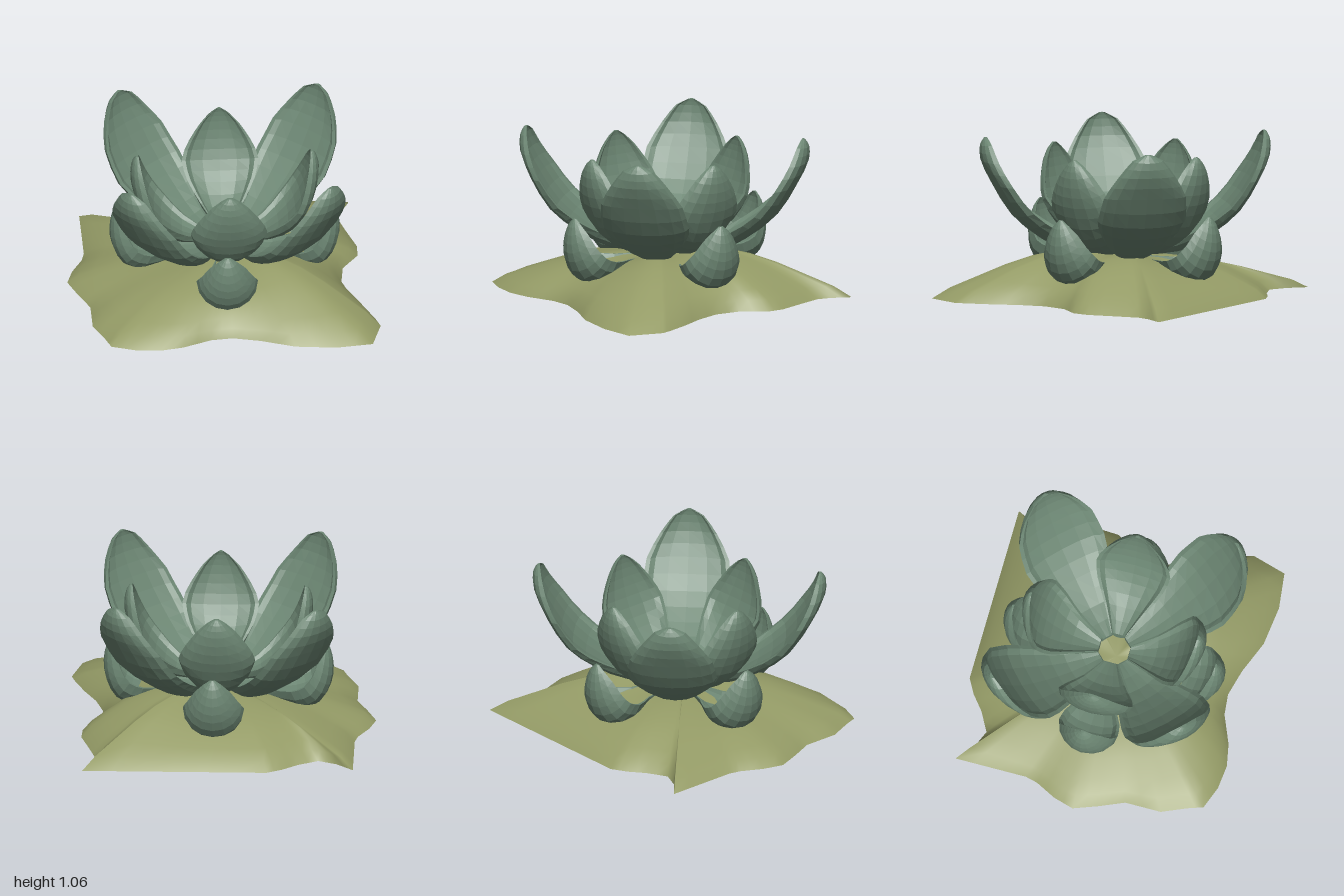
import * as THREE from 'three';

const leafMat = new THREE.MeshStandardMaterial({ color: 0x6b8572, flatShading: true });
const soilMat = new THREE.MeshStandardMaterial({ color: 0x949b66 });

// Petal stations from base to tip: back r, back y, rim r, rim y, half width
const LARGE = [
  [0.1, 0.26, 0.1, 0.32, 0.05], [0.35, 0.28, 0.3, 0.37, 0.15], [0.56, 0.39, 0.48, 0.465, 0.235],
  [0.75, 0.55, 0.65, 0.59, 0.29], [0.88, 0.76, 0.78, 0.76, 0.27], [0.95, 0.91, 0.86, 0.91, 0.185],
  [0.955, 1.01, 0.895, 1.02, 0.1], [0.93, 1.06, 0.91, 1.06, 0.02],
];
const INNER = [
  [0.1, 0.28, 0.1, 0.34, 0.05], [0.3, 0.31, 0.26, 0.42, 0.14], [0.46, 0.42, 0.38, 0.53, 0.22],
  [0.55, 0.57, 0.46, 0.63, 0.25], [0.6, 0.71, 0.51, 0.75, 0.2], [0.615, 0.84, 0.54, 0.86, 0.125],
  [0.6, 0.92, 0.555, 0.925, 0.06], [0.58, 0.955, 0.56, 0.955, 0.015],
];
const SMALL = [
  [0.1, 0.22, 0.1, 0.27, 0.04], [0.35, 0.16, 0.33, 0.27, 0.1], [0.55, 0.12, 0.48, 0.29, 0.185],
  [0.67, 0.17, 0.57, 0.33, 0.2], [0.735, 0.29, 0.625, 0.4, 0.165], [0.75, 0.41, 0.655, 0.48, 0.115],
  [0.73, 0.52, 0.68, 0.54, 0.06], [0.7, 0.575, 0.685, 0.575, 0.015],
];

function buildGeometry(pos, idx) {
  const g = new THREE.BufferGeometry();
  g.setAttribute('position', new THREE.Float32BufferAttribute(pos, 3));
  g.setIndex(idx);
  g.computeVertexNormals();
  return g;
}

// Cupped petal pointing to +z: round back, narrow lip, hollow inner face
function petalGeometry(stations) {
  const curve = (k) => new THREE.CatmullRomCurve3(
    stations.map((s) => (k < 4 ? new THREE.Vector3(0, s[k + 1], s[k]) : new THREE.Vector3(s[4], 0, 0))));
  const back = curve(0), rim = curve(2), width = curve(4);
  const rows = 14, outer = 8, inner = 6, n = outer + inner + 2;
  const pos = [], idx = [];
  for (let i = 0; i <= rows; i++) {
    const t = i / rows;
    const b = back.getPoint(t), r = rim.getPoint(t), w = Math.max(width.getPoint(t).x, 0.005);
    const add = (a, wide, deep) => {
      const p = r.clone().lerp(b, deep * Math.sin(a));
      pos.push(w * wide * Math.cos(a), p.y, p.z);
    };
    for (let j = 0; j <= outer; j++) add((Math.PI * j) / outer, 1, 1);
    for (let j = inner; j >= 0; j--) add((Math.PI * j) / inner, 0.9, 0.42);
  }
  for (let i = 0; i < rows; i++) {
    for (let j = 0; j < n; j++) {
      const k = (j + 1) % n;
      const a = i * n + j, b = a + n, c = (i + 1) * n + k, d = i * n + k;
      idx.push(a, b, c, a, c, d);
    }
  }
  const e = rows * n;
  for (let j = 1; j < n - 1; j++) idx.push(0, j, j + 1, e, e + j + 1, e + j);
  return buildGeometry(pos, idx);
}

// Four equal petals around the centre
function petalRing(name, stations, turn) {
  const ring = new THREE.Group();
  ring.name = name + 'Petals';
  const geo = petalGeometry(stations);
  for (let i = 0; i < 4; i++) {
    const petal = new THREE.Mesh(geo, leafMat);
    petal.name = name + 'Petal' + (i + 1);
    petal.rotation.y = turn + (i * Math.PI) / 2;
    ring.add(petal);
  }
  return ring;
}

// Irregular outline of the ground patch (x, z), clockwise from above
const OUTLINE = [
  [-0.87, -0.845], [-0.76, -0.75], [-0.64, -0.7], [-0.51, -0.77], [-0.41, -0.85], [-0.31, -0.905],
  [0.1, -0.905], [0.5, -0.905], [0.89, -0.905], [0.83, -0.78], [0.81, -0.69], [0.855, -0.53],
  [0.91, -0.35], [0.905, -0.235], [0.8, -0.085], [0.78, 0.085], [0.83, 0.25], [0.91, 0.41],
  [0.975, 0.57], [1, 0.65], [0.935, 0.875], [0.695, 0.905], [0.43, 0.875], [0.21, 0.79],
  [0.03, 0.745], [-0.11, 0.76], [-0.3, 0.84], [-0.45, 0.87], [-0.61, 0.855], [-0.765, 0.8],
  [-0.8, 0.7], [-0.87, 0.54], [-0.87, 0.3], [-0.94, 0.14], [-1, -0.02], [-0.96, -0.155],
  [-0.89, -0.29], [-0.87, -0.37], [-0.87, -0.6],
];
// Mound section: fraction of the outline, height
const MOUND = [[0.15, 0.27], [0.3, 0.27], [0.45, 0.255], [0.6, 0.225], [0.73, 0.18], [0.85, 0.12], [0.94, 0.07], [1, 0.01]];

function groundGeometry() {
  const pts = OUTLINE.flatMap(([x, z], i) => {
    const [u, v] = OUTLINE[(i + 1) % OUTLINE.length];
    return [[x, z], [(x + u) / 2, (z + v) / 2]];
  });
  const n = pts.length, pos = [0, 0.27, 0], idx = [];
  // Rings grow from a circle at the crown into the ragged outline
  MOUND.forEach(([s, h]) => pts.forEach(([x, z]) => {
    const f = s * THREE.MathUtils.lerp(0.88 / Math.hypot(x, z), 1, s * s);
    const swell = Math.sin(Math.PI * s) * (0.015 * Math.sin(4 * x + 1) * Math.cos(4 * z) + 0.04 * x);
    pos.push(x * f, h + swell, z * f);
  }));
  for (let j = 0; j < n; j++) {
    const k = (j + 1) % n;
    idx.push(0, 1 + k, 1 + j);
    for (let i = 0; i < MOUND.length - 1; i++) {
      const a = 1 + i * n + j, d = 1 + i * n + k;
      idx.push(a, d, d + n, a, d + n, a + n);
    }
  }
  // Flat underside with its own vertices for a sharp edge
  const c = pos.length / 3;
  pos.push(0, 0, 0);
  pts.forEach(([x, z]) => pos.push(x, 0.01, z));
  for (let j = 0; j < n; j++) idx.push(c, c + 1 + j, c + 1 + ((j + 1) % n));
  return buildGeometry(pos, idx);
}

export function createModel() {
  const model = new THREE.Group();
  model.name = 'succulentPlant';
  const ground = new THREE.Mesh(groundGeometry(), soilMat);
  ground.name = 'ground';

  const rosette = new THREE.Group();
  rosette.name = 'rosette';
  rosette.position.set(0.025, 0, -0.02);
  rosette.add(
    petalRing('large', LARGE, Math.PI / 4),
    petalRing('inner', INNER, 0),
    petalRing('small', SMALL, -0.033),
  );
  model.add(ground, rosette);
  return model;
}
